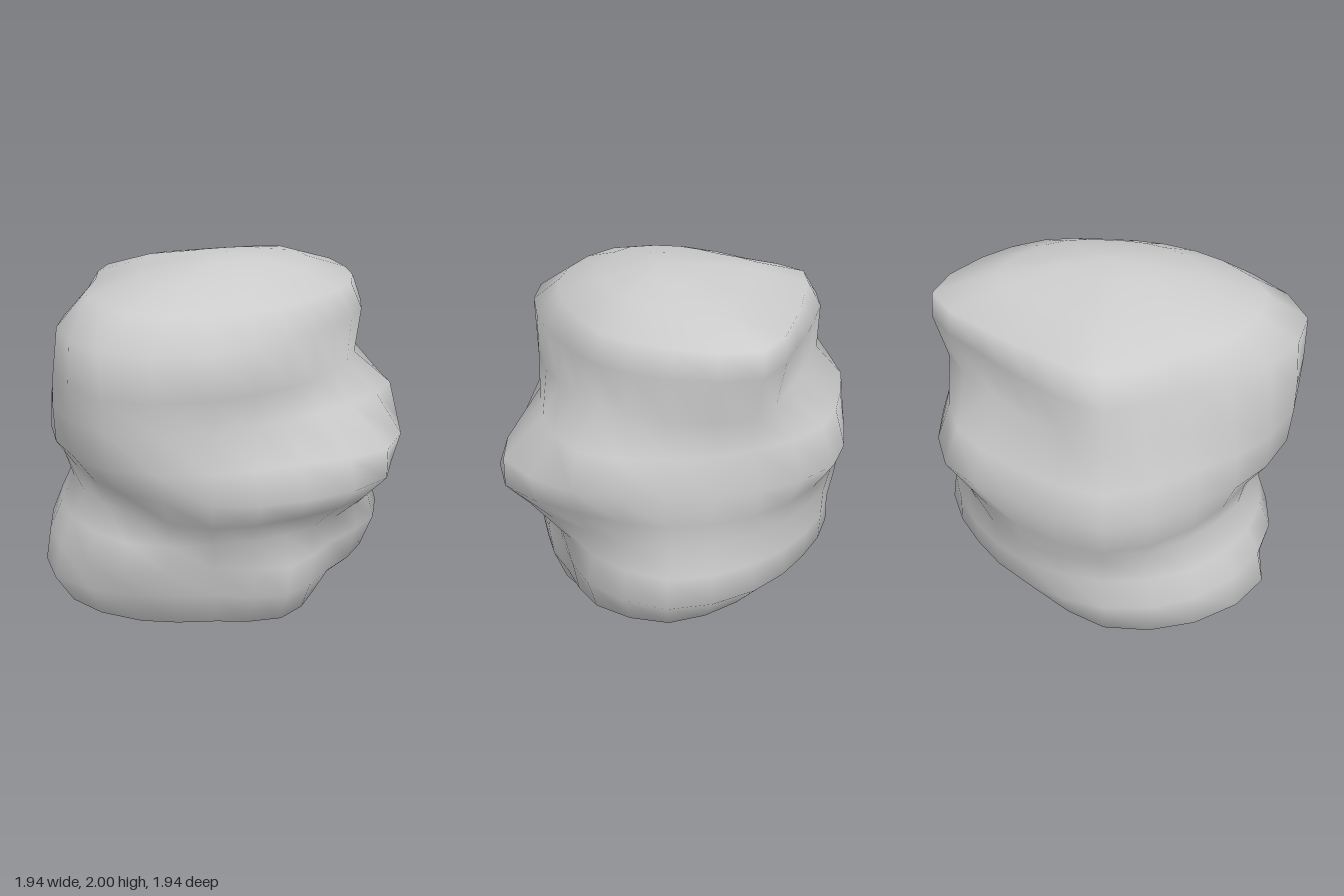
import * as THREE from 'three';
import { mergeVertices } from 'three/addons/utils/BufferGeometryUtils.js';

const SEGMENTS = 24;

// Height, then twelve radii in 30 degree steps from +x towards +z
const SECTIONS = [
  // upper lobe, hanging lowest at the front right
  [1.83, .69, .61, .64, .73, .84, .77, .68, .77, .66, .70, .90, .78],
  [1.69, .75, .69, .76, .94, 1.06, .94, .78, .86, .72, .72, .91, .82],
  [1.45, .72, .69, .76, .90, 1.06, .97, .82, .86, .70, .68, .84, .79],
  // middle lobe, overhanging at the front
  [1.28, .92, .79, .75, .88, 1.05, .98, .90, .98, .88, .88, .84, .86],
  [1.08, .97, 1.02, .87, .92, 1.03, .97, .93, 1.00, .91, .96, .90, .90],
  [.92, .90, 1.02, .96, .94, .92, .86, .91, .99, .89, .85, .87, .89],
  [.78, .83, .89, .85, .89, .84, .83, .84, .90, .87, .80, .84, .88],
  // lower lobe, with a hollow on the front between two bulges
  [.63, .82, .73, .72, .76, .88, .90, .91, .88, .84, .82, .86, .92],
  [.48, .86, .71, .79, .73, .93, .97, .97, .92, .84, .81, .88, .96],
  [.30, .79, .69, .76, .67, .81, 1.01, .97, .88, .70, .64, .70, .82],
  [.14, .50, .60, .70, .66, .78, .91, .79, .60, .40, .25, .25, .35],
];

// Smooth closed outline through the twelve radii of one section
function outline([y, ...radii]) {
  const points = radii.map((r, i) => {
    const a = (i / radii.length) * Math.PI * 2;
    return new THREE.Vector3(r * Math.cos(a), y, r * Math.sin(a));
  });
  const curve = new THREE.CatmullRomCurve3(points, true);
  return Array.from({ length: SEGMENTS }, (_, i) => curve.getPoint(i / SEGMENTS));
}

// Copy of an outline shrunk towards a pole, at its own height
const shrink = (row, pole, amount, y) => row.map((p) => {
  const q = p.clone().lerp(pole, amount);
  q.y = y;
  return q;
});

function boulderGeometry() {
  const rows = SECTIONS.map(outline);
  const top = new THREE.Vector3(0.05, 2, 0.05);
  const bottom = new THREE.Vector3(-0.32, 0, 0.18);
  const first = rows[0];
  const last = rows[rows.length - 1];

  // Domed top and off-centre underside
  rows.unshift(shrink(first, top, 1, 2), shrink(first, top, 0.72, 1.98), shrink(first, top, 0.36, 1.925));
  rows.push(shrink(last, bottom, 0.36, 0.06), shrink(last, bottom, 1, 0));

  // Two triangles per cell, one where a row closes to a pole
  const index = [];
  for (let i = 0; i < rows.length - 1; i++) {
    for (let j = 0; j < SEGMENTS; j++) {
      const a = i * SEGMENTS + j;
      const b = i * SEGMENTS + (j + 1) % SEGMENTS;
      const c = a + SEGMENTS;
      const d = b + SEGMENTS;
      if (i > 0) index.push(a, b, c);
      if (i < rows.length - 2) index.push(b, d, c);
    }
  }

  const geometry = new THREE.BufferGeometry().setFromPoints(rows.flat());
  geometry.setIndex(index);
  const merged = mergeVertices(geometry, 1e-4);
  merged.computeVertexNormals();
  return merged;
}

export function createModel() {
  const group = new THREE.Group();
  group.name = 'rock';
  const boulder = new THREE.Mesh(
    boulderGeometry(),
    new THREE.MeshStandardMaterial({ color: 0xcccccc }),
  );
  boulder.name = 'boulder';
  group.add(boulder);
  return group;
}
